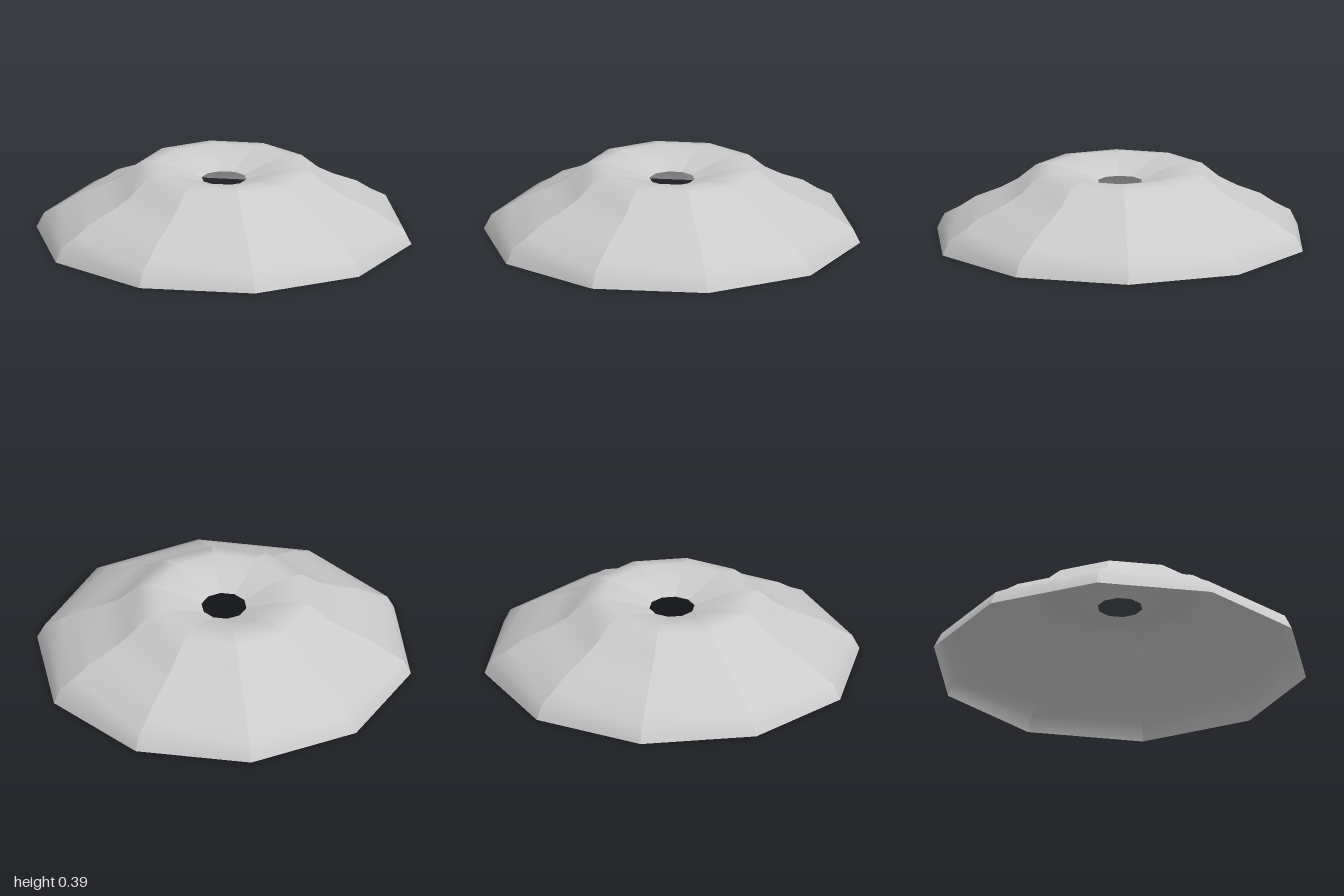
import * as THREE from 'three';
import { mergeGeometries } from 'three/addons/utils/BufferGeometryUtils.js';

const SIDES = 10;

// Radius and height, from the outer rim up over the crest and down to the hole
const PROFILE = [
  [1, 0], [0.96, 0.08], [0.87, 0.13], [0.79, 0.185], [0.66, 0.24],
  [0.56, 0.295], [0.46, 0.378], [0.37, 0.39], [0.25, 0.362], [0.12, 0.317],
].map(([r, y]) => new THREE.Vector2(r, y));

// One flat-across panel, shaded smoothly along the profile only
function panel(i) {
  const step = (Math.PI * 2) / SIDES;
  const geometry = new THREE.LatheGeometry(PROFILE, 1, step * (i + 0.5), step);
  geometry.computeVertexNormals();
  return geometry;
}

export function createModel() {
  const group = new THREE.Group();
  group.name = 'dishedCover';

  // Thin open shell made of ten panels with crisp seams
  const shell = new THREE.Mesh(
    mergeGeometries(Array.from({ length: SIDES }, (_, i) => panel(i))),
    new THREE.MeshStandardMaterial({ color: 0xcccccc, side: THREE.DoubleSide }),
  );
  shell.name = 'shell';
  group.add(shell);
  return group;
}
